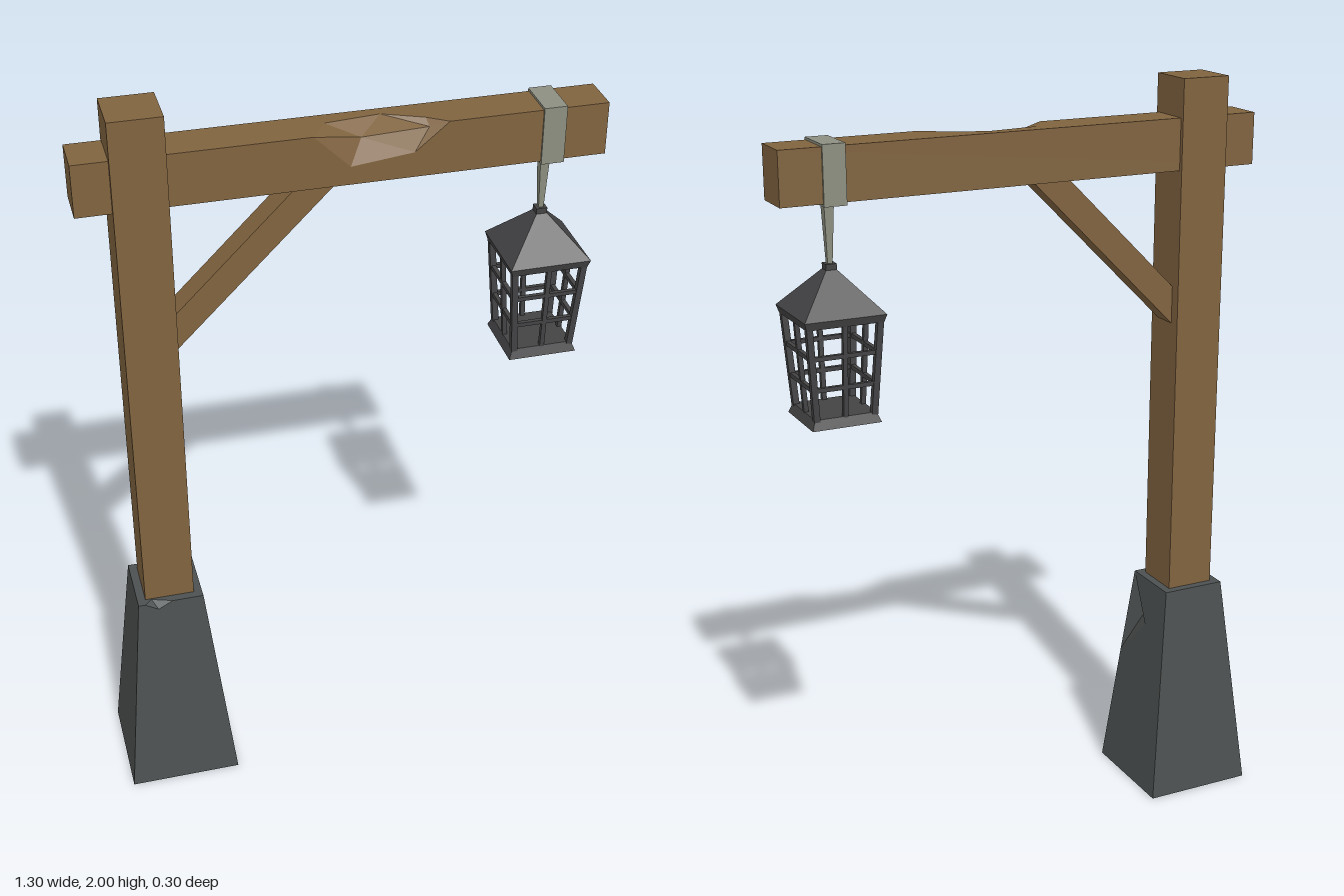
import * as THREE from 'three';

const mat = (color) => new THREE.MeshStandardMaterial({ color, flatShading: true });
const wood = mat(0x80633f), stone = mat(0x4c5050), iron = mat(0x434345), strapMetal = mat(0x8c8f80);

function add(parent, name, geometry, material, x = 0, y = 0, z = 0) {
  const mesh = new THREE.Mesh(geometry, material);
  mesh.name = name;
  mesh.position.set(x, y, z);
  parent.add(mesh);
  return mesh;
}

// Solid from named corners and convex faces (counter-clockwise from outside)
function faceted(points, faces) {
  const pos = [];
  for (const face of faces) {
    const f = face.split(' ');
    for (let i = 1; i < f.length - 1; i++) {
      pos.push(...points[f[0]], ...points[f[i]], ...points[f[i + 1]]);
    }
  }
  const g = new THREE.BufferGeometry();
  g.setAttribute('position', new THREE.Float32BufferAttribute(pos, 3));
  g.computeVertexNormals();
  return g;
}

// Square frustum standing on y = y0, given half widths
function frustum(top, bottom, y0, y1) {
  const g = new THREE.CylinderGeometry(top * Math.SQRT2, bottom * Math.SQRT2, y1 - y0, 4);
  return g.rotateY(Math.PI / 4).translate(0, (y0 + y1) / 2, 0);
}

// Square bar between two points
function bar(parent, name, a, b, size, material) {
  const va = new THREE.Vector3(...a), vb = new THREE.Vector3(...b);
  const dir = vb.clone().sub(va);
  const mesh = add(parent, name, new THREE.BoxGeometry(size, dir.length(), size), material);
  mesh.position.copy(va).add(vb).multiplyScalar(0.5);
  mesh.quaternion.setFromUnitVectors(new THREE.Vector3(0, 1, 0), dir.normalize());
}

// Tapered stone foot with a chipped right edge and a nick in the front rim
function baseGeometry() {
  const t = 0.088, b = 0.15, h = 0.6;
  return faceted({
    A: [t, h, t], D: [t, h, -t], G: [-t, h, t], I: [-t, h, -t],
    B: [b, 0, b], C: [b, 0, -b], H: [-b, 0, b], J: [-b, 0, -b],
    E: [0.114, 0.35, 0.114], Q: [0.1014, 0.47, 0], P: [0.072, 0.48, 0.055],
    K: [-0.07, h, t], L: [0.005, h, t], N: [-0.035, 0.58, 0.09], M: [-0.05, h, 0.069],
  }, [
    'A Q D', 'E B C Q', 'Q C D', 'A P Q', 'P E Q', 'A E P',
    'G H N K', 'H B N', 'N B E A L', 'K N M', 'N L M',
    'G K M I', 'I M D', 'M L A D', 'I J H G', 'D C J I', 'H J C B',
  ]);
}

// Crossbeam with a gouge in its upper front edge
function beamGeometry() {
  const x = 0.65, y0 = 1.765, y1 = 1.9, z = 0.055;
  return faceted({
    a: [-x, y0, z], b: [x, y0, z], c: [x, y1, z], d: [-x, y1, z],
    e: [-x, y0, -z], f: [x, y0, -z], g: [x, y1, -z], h: [-x, y1, -z],
    T0: [-0.082, y1, z], T1: [-0.04, y1, -0.01], T2: [0.1, y1, -0.025],
    T3: [0.2, y1, 0.02], T4: [0.25, y1, z],
    F1: [0.008, 1.812, z], F2: [0.165, 1.83, z],
    P1: [0.04, 1.872, 0.028], P2: [0.205, 1.883, 0.036],
  }, [
    'F1 T0 d a', 'F1 a b F2', 'F2 b c T4',
    'd T0 T1 h', 'h T1 T2', 'h T2 g', 'T2 T3 g', 'T3 T4 c g',
    'T0 F1 P1', 'F1 F2 P1', 'F2 P2 P1', 'F2 T4 P2', 'T0 P1 T1',
    'T1 P1 T2', 'P1 P2 T2', 'P2 T3 T2', 'P2 T4 T3',
    'a e f b', 'g f e h', 'b f g c', 'e a d h',
  ]);
}

function createLantern() {
  const lantern = new THREE.Group();
  lantern.name = 'lantern';
  add(lantern, 'lanternKnob', frustum(0.014, 0.014, 1.585, 1.61), iron);
  add(lantern, 'lanternRoof', frustum(0.014, 0.105, 1.495, 1.595), iron);
  add(lantern, 'lanternRoofRim', frustum(0.105, 0.099, 1.475, 1.495), iron);
  add(lantern, 'lanternFloor', frustum(0.08, 0.09, 1.22, 1.245), iron);

  // Cage: the sides narrow downwards
  const yTop = 1.48, yBottom = 1.24;
  const half = (y) => 0.075 + 0.016 * (y - yBottom) / (yTop - yBottom);
  const ht = half(yTop), hb = half(yBottom);
  for (let i = 0; i < 4; i++) {
    const side = new THREE.Group();
    side.name = 'cageSide';
    side.rotation.y = i * Math.PI / 2;
    bar(side, 'cornerBar', [hb, yBottom, hb], [ht, yTop, ht], 0.016, iron);
    bar(side, 'middleBar', [0, yBottom, hb], [0, yTop, ht], 0.012, iron);
    for (const y of [1.32, 1.4]) {
      bar(side, 'crossBar', [-half(y), y, half(y)], [half(y), y, half(y)], 0.011, iron);
    }
    lantern.add(side);
  }
  return lantern;
}

export function createModel() {
  const model = new THREE.Group();
  model.name = 'lanternPost';
  const postX = -0.495, lanternX = 0.513;

  add(model, 'stoneBase', baseGeometry(), stone, postX);
  add(model, 'post', new THREE.BoxGeometry(0.132, 1.42, 0.132), wood, postX, 1.29);
  add(model, 'crossbeam', beamGeometry(), wood);

  // Diagonal brace, its ends set into post and beam
  const shape = new THREE.Shape([
    [-0.45, 1.335], [-0.005, 1.78], [-0.105, 1.78], [-0.45, 1.435],
  ].map(([x, y]) => new THREE.Vector2(x, y)));
  const brace = new THREE.ExtrudeGeometry(shape, { depth: 0.072, bevelEnabled: false });
  add(model, 'brace', brace, wood, 0, 0, -0.036);

  // Strap round the beam and the tapered hanger below it
  add(model, 'strap', new THREE.BoxGeometry(0.058, 0.148, 0.12), strapMetal, lanternX, 1.832);
  add(model, 'hanger', frustum(0.013, 0.006, 1.6, 1.765), strapMetal, lanternX);

  const lantern = createLantern();
  lantern.position.x = lanternX;
  model.add(lantern);
  return model;
}
